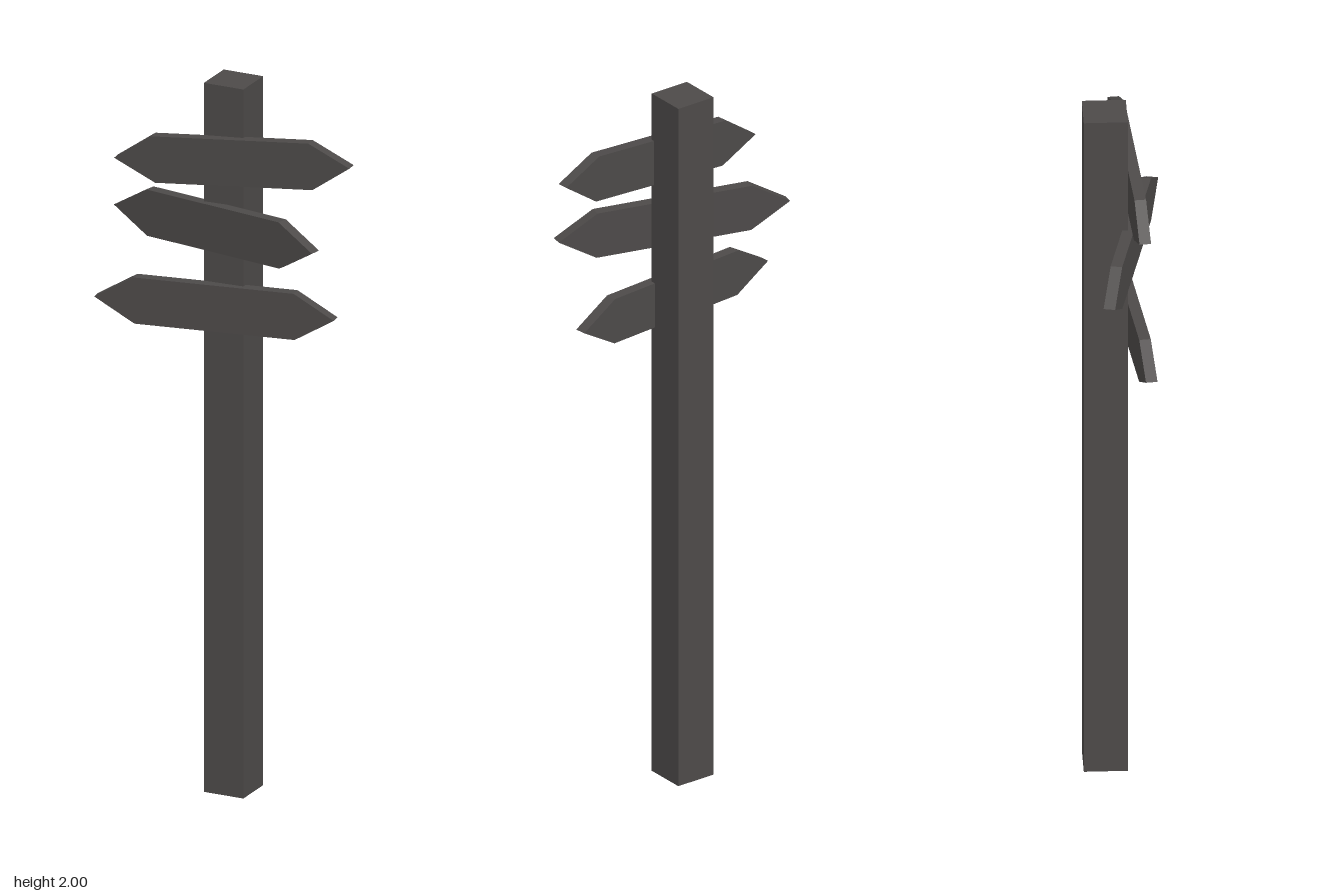
import * as THREE from 'three';

const weatheredWood = new THREE.MeshStandardMaterial({ color: 0x4d4a49, flatShading: true });
weatheredWood.name = 'weatheredWood';

// Board pointed at both ends, centred on its own origin
function boardGeometry(halfLength, halfFlat, halfHeight, depth) {
  const shape = new THREE.Shape([
    new THREE.Vector2(-halfLength, 0),
    new THREE.Vector2(-halfFlat, -halfHeight),
    new THREE.Vector2(halfFlat, -halfHeight),
    new THREE.Vector2(halfLength, 0),
    new THREE.Vector2(halfFlat, halfHeight),
    new THREE.Vector2(-halfFlat, halfHeight),
  ]);
  const geometry = new THREE.ExtrudeGeometry(shape, { depth, bevelEnabled: false });
  return geometry.translate(0, 0, -depth / 2);
}

export function createModel() {
  const model = new THREE.Group();
  model.name = 'signpost';

  // Square post, set slightly back and to one side
  const post = new THREE.Mesh(new THREE.BoxGeometry(0.117, 2, 0.117), weatheredWood);
  post.name = 'post';
  post.position.set(-0.0095, 1, -0.0505);
  model.add(post);

  // Boards, each turned and tilted a little differently
  const board = boardGeometry(0.338, 0.226, 0.065, 0.031);
  const boards = [
    { name: 'topBoard', at: [0.025, 1.796, 0.016], yaw: 0.08, tilt: 0.089 },
    { name: 'middleBoard', at: [-0.026, 1.602, 0.018], yaw: -0.217, tilt: 0.022 },
    { name: 'bottomBoard', at: [-0.027, 1.378, 0.0185], yaw: 0.116, tilt: 0.021 },
  ];
  for (const { name, at, yaw, tilt } of boards) {
    const mesh = new THREE.Mesh(board, weatheredWood);
    mesh.name = name;
    mesh.position.set(...at);
    mesh.rotation.set(0, yaw, tilt);
    model.add(mesh);
  }

  return model;
}
